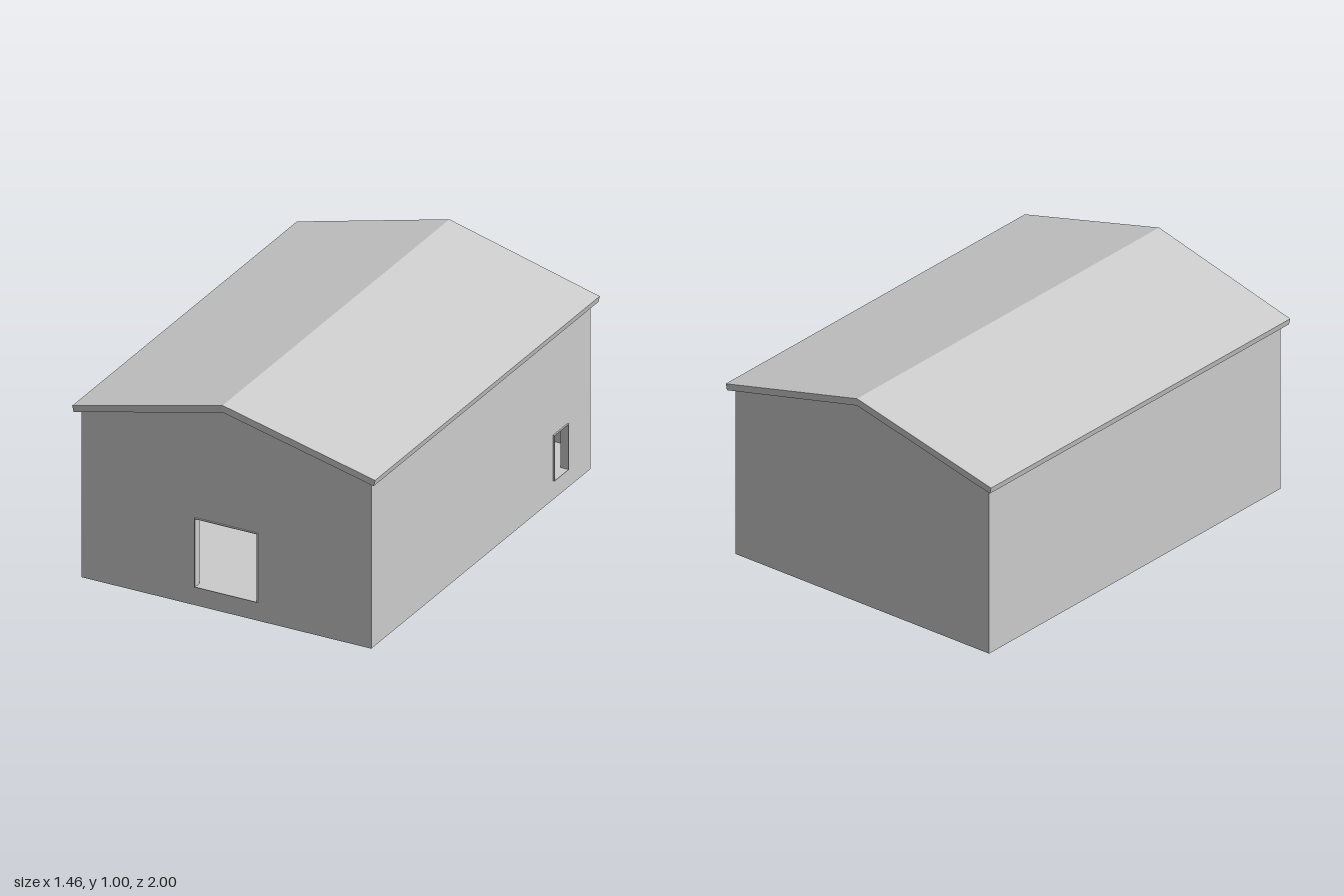
import * as THREE from 'three';

const W = 0.7, D = 0.965, EAVE = 0.794, PEAK = 0.967, FLOOR = 0.088;

const material = new THREE.MeshStandardMaterial({ color: 0xcccccc, side: THREE.DoubleSide, flatShading: true });

function polygon(points) {
  return new THREE.Shape(points.map(([x, y]) => new THREE.Vector2(x, y)));
}

function rect(x0, y0, x1, y1) {
  return polygon([[x0, y0], [x1, y0], [x1, y1], [x0, y1]]);
}

function addMesh(parent, name, geometry) {
  const mesh = new THREE.Mesh(geometry, material);
  mesh.name = name;
  parent.add(mesh);
  return mesh;
}

// Thin wall in its own plane, with an optional framed opening [x0, y0, x1, y1]
function addWall(parent, name, shape, distance, turn, opening, openingName) {
  const group = new THREE.Group();
  group.name = name + 'Group';
  group.rotation.y = turn;
  parent.add(group);
  if (opening) shape.holes.push(rect(...opening));
  addMesh(group, name, new THREE.ShapeGeometry(shape)).position.z = distance;
  if (opening) {
    // Slim lining that stands slightly proud of the wall and runs inward
    const [x0, y0, x1, y1] = opening, t = 0.004;
    const lining = rect(x0, y0, x1, y1);
    lining.holes.push(rect(x0 + t, y0 + t / 2, x1 - t, y1 - t));
    const geometry = new THREE.ExtrudeGeometry(lining, { depth: 0.04, bevelEnabled: false });
    addMesh(group, openingName, geometry).position.z = distance - 0.033;
  }
}

export function createModel() {
  const house = new THREE.Group();
  house.name = 'house';

  // Walls
  const gable = () => polygon([[-W, 0], [W, 0], [W, EAVE], [0, PEAK], [-W, EAVE]]);
  const side = () => rect(-D, 0, D, EAVE);
  addWall(house, 'frontWall', gable(), D, 0, [-0.152, 0.088, 0.152, 0.416], 'doorFrame');
  addWall(house, 'backWall', gable(), D, Math.PI);
  addWall(house, 'leftWall', side(), W, Math.PI / 2, [0.638, 0.088, 0.764, 0.306], 'windowFrame');
  addWall(house, 'rightWall', side(), W, -Math.PI / 2);

  // Raised floor
  const floor = addMesh(house, 'floor', new THREE.PlaneGeometry(2 * W, 2 * D));
  floor.rotation.x = -Math.PI / 2;
  floor.position.y = FLOOR;

  // Roof: folded slab whose ends draw in slightly towards the eaves
  const section = polygon([[-0.732, 0.817], [-0.725, 0.788], [0, PEAK], [0.725, 0.788], [0.732, 0.817], [0, 1]]);
  const roof = new THREE.ExtrudeGeometry(section, { depth: 2, bevelEnabled: false });
  roof.translate(0, 0, -1);
  const p = roof.attributes.position;
  for (let i = 0; i < p.count; i++) p.setZ(i, p.getZ(i) * (1 - 0.014 * Math.abs(p.getX(i))));
  roof.computeVertexNormals();
  addMesh(house, 'roof', roof);

  return house;
}
